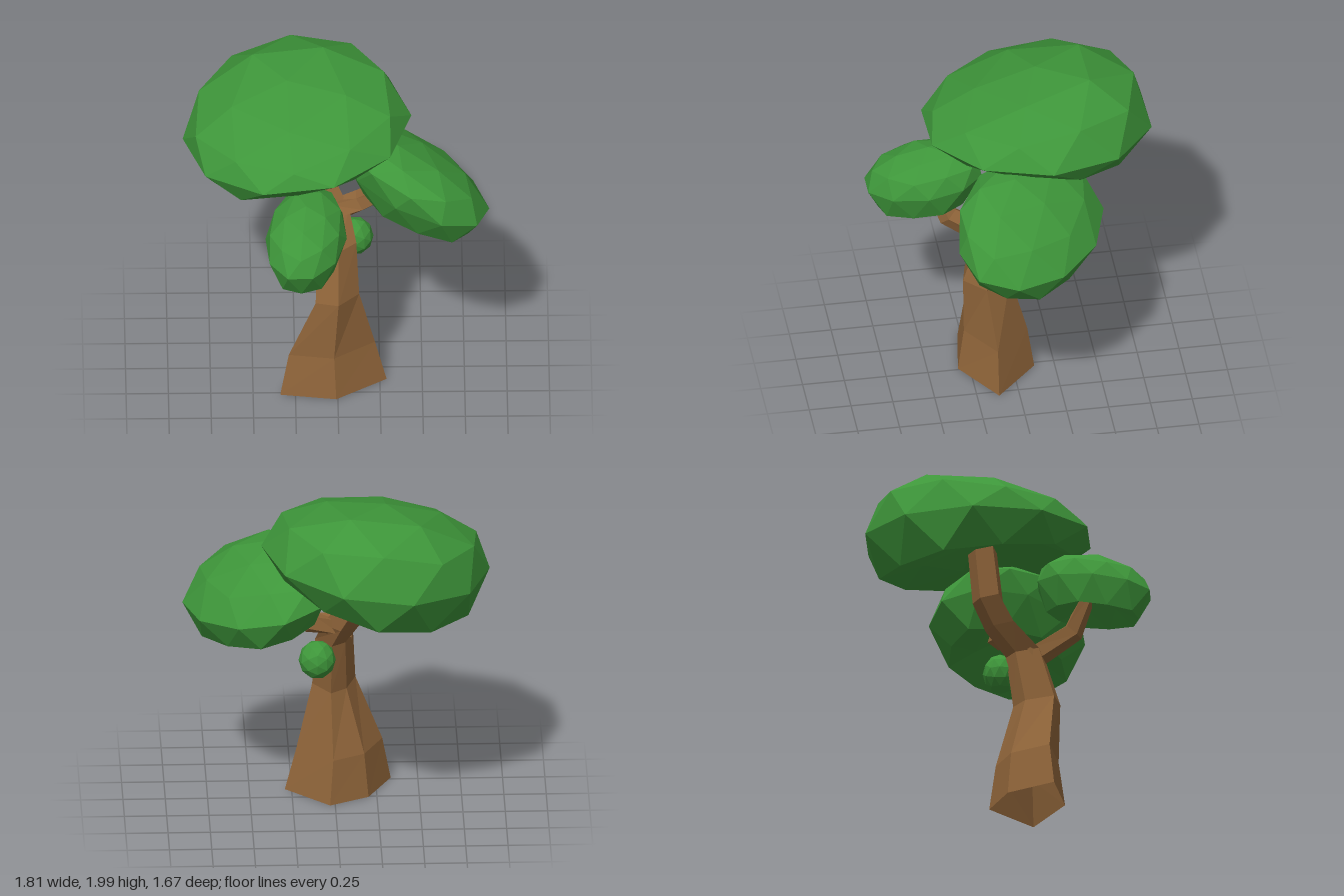
import * as THREE from 'three';

const bark = new THREE.MeshStandardMaterial({ color: 0x90653a, flatShading: true, side: THREE.DoubleSide, name: 'bark brown' });
const leaf = new THREE.MeshStandardMaterial({ color: 0x3e963a, flatShading: true, name: 'leaf green' });

// Faceted skin, open at its foot, through rings of points (each counter-clockwise seen from its upper end)
function loft(rings) {
  const pos = [];
  const n = rings[0].length;
  const tri = (...pts) => pts.forEach((p) => pos.push(p.x, p.y, p.z));
  for (let r = 0; r < rings.length - 1; r++) {
    for (let i = 0; i < n; i++) {
      const j = (i + 1) % n;
      const a = rings[r][i], b = rings[r][j], c = rings[r + 1][j], d = rings[r + 1][i];
      tri(a, b, c);
      tri(a, c, d);
    }
  }
  const top = rings[rings.length - 1];
  for (let i = 1; i < n - 1; i++) tri(top[0], top[i], top[i + 1]);
  const g = new THREE.BufferGeometry();
  g.setAttribute('position', new THREE.Float32BufferAttribute(pos, 3));
  g.computeVertexNormals();
  return g;
}

// Irregular five-sided trunk that narrows, then leans back into the crown
function trunkGeometry() {
  const section = [[-0.32, 0.17], [0.01, 0.22], [0.31, 0.02], [0.05, -0.23], [-0.18, -0.11]];
  // y, centre x, centre z, scale x, scale z
  const levels = [
    [0, -0.02, 0.1, 1, 1],
    [0.27, -0.03, 0.1, 0.81, 0.83],
    [0.66, 0, 0.155, 0.41, 0.62],
    [0.98, 0, 0.085, 0.36, 0.5],
    [1.13, -0.05, -0.05, 0.39, 0.43],
    [1.28, -0.12, -0.13, 0.36, 0.4],
    [1.58, -0.16, -0.16, 0.32, 0.38],
  ];
  return loft(levels.map(([y, cx, cz, sx, sz]) =>
    section.map(([x, z]) => new THREE.Vector3(cx + x * sx, y, cz + z * sz))));
}

// Tapered branch along a bent path; each stop is x, y, z, radius
function branchGeometry(stops, sides = 5) {
  const pts = stops.map(([x, y, z]) => new THREE.Vector3(x, y, z));
  const up = new THREE.Vector3(0, 1, 0);
  return loft(pts.map((p, k) => {
    const dir = pts[Math.min(k + 1, pts.length - 1)].clone().sub(pts[Math.max(k - 1, 0)]).normalize();
    const q = new THREE.Quaternion().setFromUnitVectors(up, dir);
    return Array.from({ length: sides }, (_, i) => {
      const a = (i / sides) * Math.PI * 2;
      return new THREE.Vector3(Math.cos(a), 0, -Math.sin(a)).multiplyScalar(stops[k][3]).applyQuaternion(q).add(p);
    });
  }));
}

// Leaf clump: faceted ball with a domed top, a tucked and hollowed underside and a lean
function clumpGeometry({ c, rx, rz, top, bottom, tiltX = 0, tiltZ = 0, peakX = 0, peakZ = 0, skew = 0, twist = 0, lift = 0, tuck = 0, sag = 0 }) {
  const g = new THREE.IcosahedronGeometry(1, 1);
  g.rotateZ(Math.atan(2 / (1 + Math.sqrt(5))));
  g.rotateY(twist);
  const p = g.attributes.position;
  for (let i = 0; i < p.count; i++) {
    const y = p.getY(i);
    const rise = Math.max(y, 0);
    const shrink = 1 + tuck * Math.min(y, 0);
    const x = p.getX(i) * shrink, z = p.getZ(i) * shrink;
    const h = y > 0 ? top * Math.pow(y, 0.95) : -bottom * (1 - sag * x) * Math.sin(Math.min(-y, 1) * 3.1);
    p.setXYZ(i,
      c[0] + rx * x + skew * z + peakX * rise,
      c[1] + h + tiltX * x + tiltZ * z + lift * y * z,
      c[2] + rz * z + peakZ * rise);
  }
  g.computeVertexNormals();
  return g;
}

export function createModel() {
  const tree = new THREE.Group();
  tree.name = 'tree';
  const add = (name, geometry, material) => {
    const m = new THREE.Mesh(geometry, material);
    m.name = name;
    tree.add(m);
    return m;
  };

  // Wood
  add('trunk', trunkGeometry(), bark);
  add('frontBranch', branchGeometry([
    [-0.04, 0.95, 0.13, 0.075], [-0.07, 1.1, 0.37, 0.065], [-0.14, 1.32, 0.47, 0.045]]), bark);
  add('leftBranch', branchGeometry([
    [-0.03, 1.12, -0.03, 0.07], [0.14, 1.16, -0.08, 0.068], [0.4, 1.37, 0, 0.06]]), bark);
  add('twig', branchGeometry([
    [0.05, 0.87, 0.08, 0.04], [0.1, 0.9, -0.04, 0.02]], 4), bark);

  // Foliage
  const turn = Math.PI / 10;
  add('crown', clumpGeometry({
    c: [-0.235, 1.625, -0.185], rx: 0.675, rz: 0.69, top: 0.34, bottom: 0.17,
    tiltX: 0.08, tiltZ: 0.01, lift: -0.155, peakX: -0.06, twist: turn, tuck: 0.12, sag: 0.4 }), leaf);
  add('leftClump', clumpGeometry({
    c: [0.46, 1.33, -0.045], rx: 0.41, rz: 0.455, top: 0.315, bottom: 0.18,
    tiltX: -0.11, peakX: -0.1, peakZ: 0.08, skew: 0.15, tuck: 0.25 }), leaf);
  add('frontClump', clumpGeometry({
    c: [-0.19, 1.31, 0.5], rx: 0.24, rz: 0.35, top: 0.215, bottom: 0.165,
    tiltZ: -0.055, peakZ: -0.03, skew: -0.04, twist: turn, tuck: 0.2 }), leaf);

  // Small round bud of leaves on the twig
  const bud = add('bud', new THREE.IcosahedronGeometry(1, 1), leaf);
  bud.scale.set(0.11, 0.118, 0.105);
  bud.position.set(0.105, 0.915, -0.067);

  return tree;
}
